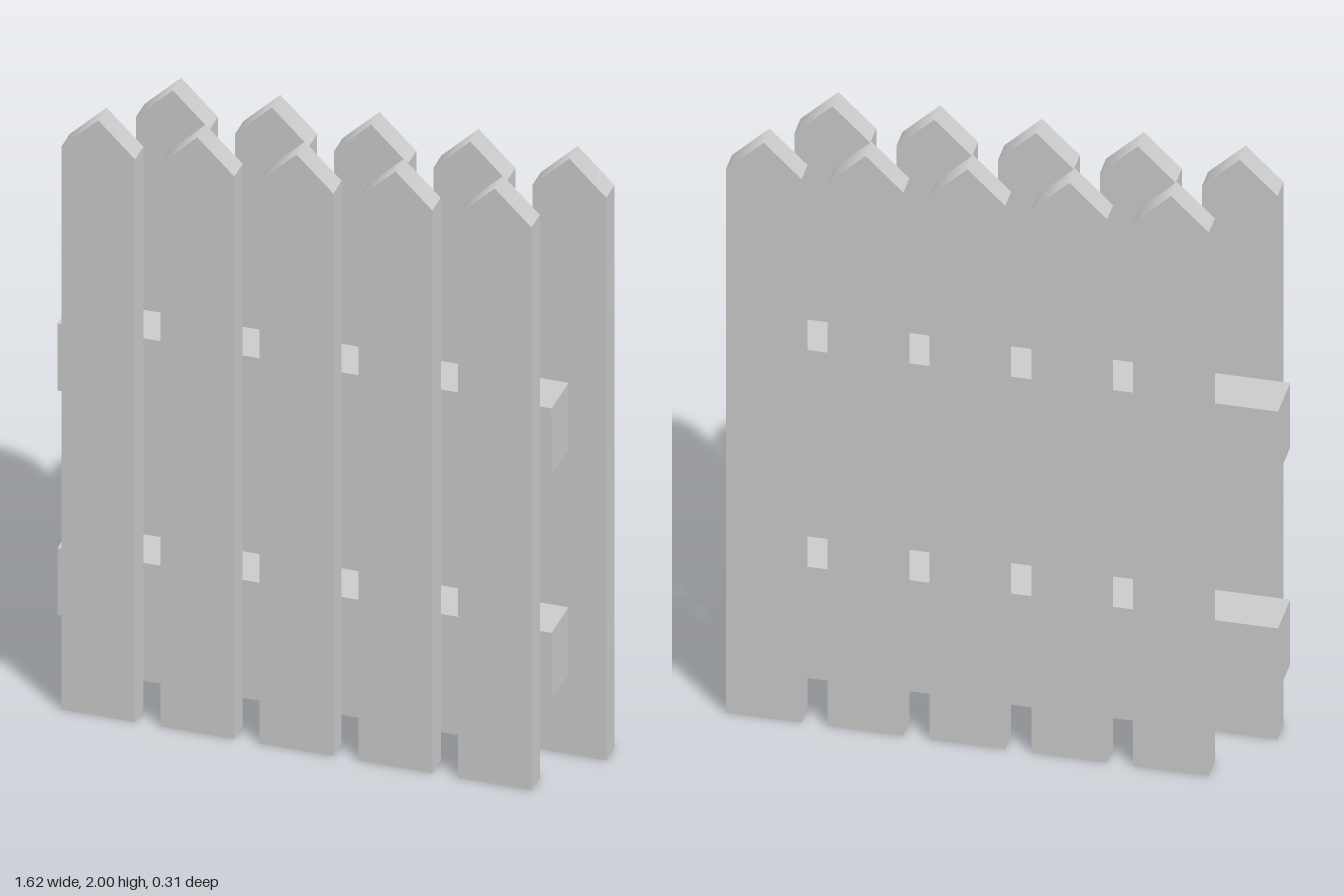
import * as THREE from 'three';

const HEIGHT = 2, SHOULDER = 1.89, WIDTH = 0.225, THICK = 0.076, RAIL_DEPTH = 0.154;
const SPACING = 0.3025, COUNT = 5;

// Pointed board, back face at z = 0, softly shaded across the ridge
function picketGeometry() {
  const h = WIDTH / 2;
  const outline = new THREE.Shape([
    [-h, 0], [h, 0], [h, SHOULDER], [0, HEIGHT], [-h, SHOULDER],
  ].map(([x, y]) => new THREE.Vector2(x, y)));
  const geo = new THREE.ExtrudeGeometry(outline, { depth: THICK, bevelEnabled: false });
  const { position, normal } = geo.attributes;
  for (let i = 0; i < position.count; i++) {
    if (position.getY(i) > HEIGHT - 0.001 && Math.abs(normal.getZ(i)) < 0.5) normal.setXYZ(i, 0, 1, 0);
  }
  return geo;
}

export function createModel() {
  const fence = new THREE.Group();
  fence.name = 'fence';
  const material = new THREE.MeshStandardMaterial({ color: 0xcccccc });

  // Two rows of pickets, staggered on either side of the rails
  const picket = picketGeometry();
  const rows = [
    { name: 'frontPicket', x: -0.662, z: RAIL_DEPTH / 2 },
    { name: 'backPicket', x: -0.512, z: -RAIL_DEPTH / 2 - THICK },
  ];
  for (const row of rows) {
    for (let i = 0; i < COUNT; i++) {
      const board = new THREE.Mesh(picket, material);
      board.name = row.name + (i + 1);
      board.position.set(row.x + i * SPACING, 0, row.z);
      fence.add(board);
    }
  }

  // Horizontal rails
  const railGeo = new THREE.BoxGeometry(1.508, 0.225, RAIL_DEPTH);
  for (const [name, y] of [['lowerRail', 0.38], ['upperRail', 1.134]]) {
    const rail = new THREE.Mesh(railGeo, material);
    rail.name = name;
    rail.position.set(-0.058, y, 0);
    fence.add(rail);
  }
  return fence;
}
